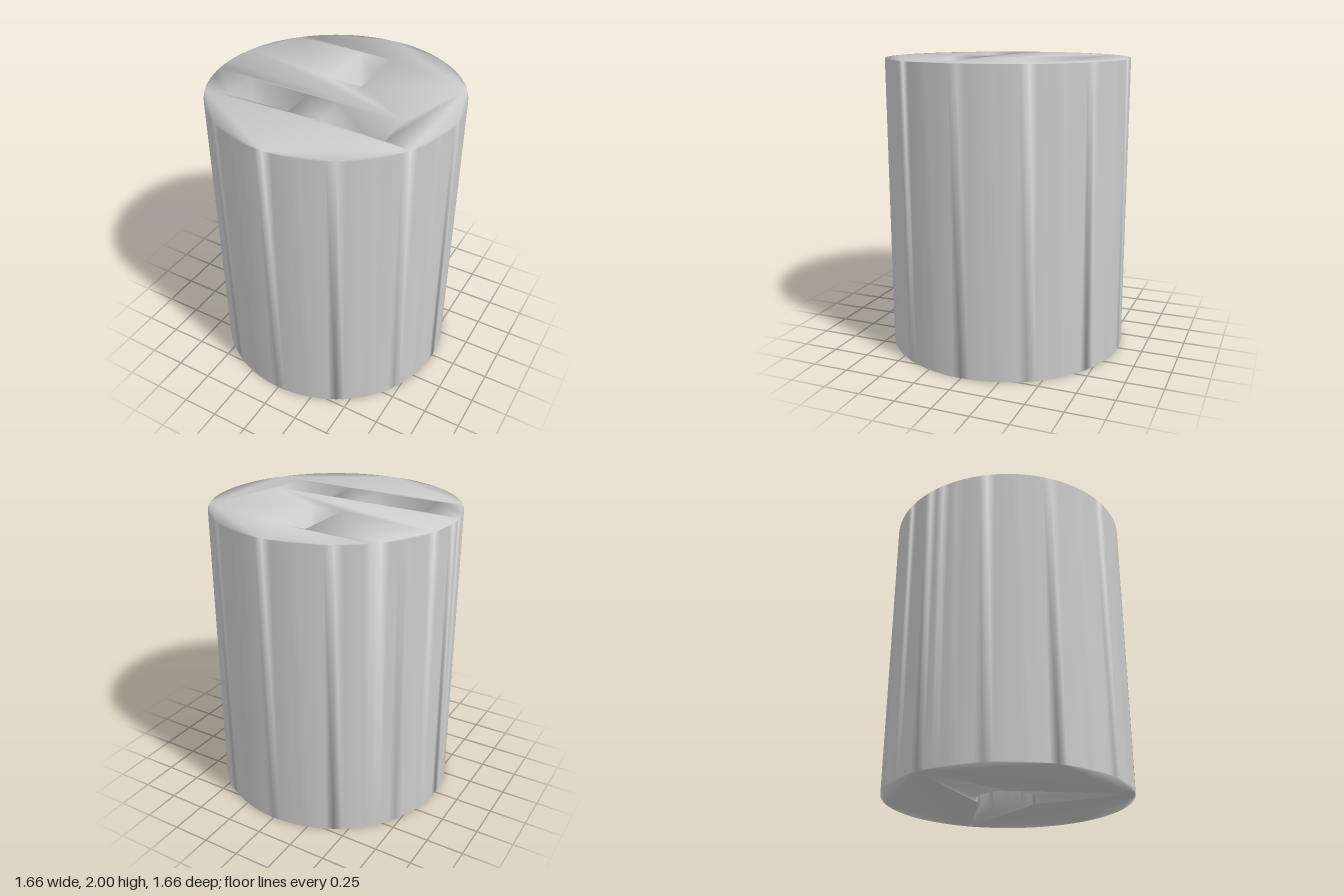
import * as THREE from 'three';
import { mergeVertices } from 'three/addons/utils/BufferGeometryUtils.js';

const R = 0.83, H = 2, SLOT_DEPTH = 0.45, BORE_R = 0.215, BORE_DEPTH = 0.5;

// Outlines are lists of (x, z) points
const circle = (r, n) => Array.from({ length: n }, (_, i) => {
  const a = (i / n) * Math.PI * 2;
  return new THREE.Vector2(r * Math.cos(a), r * Math.sin(a));
});
const rect = (x0, x1, z0, z1) =>
  [[x0, z0], [x1, z0], [x1, z1], [x0, z1]].map(([x, z]) => new THREE.Vector2(x, z));

// Vertical wall along an outline, facing outward or inward
function addWall(out, outline, y0, y1, inward) {
  const pts = inward ? outline.slice().reverse() : outline;
  pts.forEach((a, i) => {
    const b = pts[(i + 1) % pts.length];
    out.push(a.x, y0, a.y, a.x, y1, a.y, b.x, y1, b.y);
    out.push(a.x, y0, a.y, b.x, y1, b.y, b.x, y0, b.y);
  });
}

// Flat face at height y with optional holes, facing up or down
function addCap(out, outline, holes, y, up) {
  const all = [outline, ...holes].flat();
  for (const tri of THREE.ShapeUtils.triangulateShape(outline, holes)) {
    const t = tri.map((i) => all[i]);
    const turn = (t[1].x - t[0].x) * (t[2].y - t[0].y) - (t[1].y - t[0].y) * (t[2].x - t[0].x);
    if ((turn < 0) !== up) t.reverse();
    t.forEach((p) => out.push(p.x, y, p.y));
  }
}

export function createModel() {
  const rim = circle(R, 96);
  const bore = circle(BORE_R, 48);
  const slots = [
    rect(-0.12, 0.12, -0.555, -0.115),
    rect(-0.555, -0.115, 0.14, 0.385),
    rect(0.11, 0.55, 0.14, 0.385),
  ];
  const pos = [];

  // Outer wall, slotted top and bored underside
  addWall(pos, rim, 0, H, false);
  addCap(pos, rim, slots, H, true);
  addCap(pos, rim, [bore], 0, false);

  // Three rectangular slots in the top
  for (const s of slots) {
    addWall(pos, s, H - SLOT_DEPTH, H, true);
    addCap(pos, s, [], H - SLOT_DEPTH, true);
  }

  // Round blind bore in the underside
  addWall(pos, bore, 0, BORE_DEPTH, true);
  addCap(pos, bore, [], BORE_DEPTH, false);

  // Weld everything so the shading runs smoothly over the edges
  let geo = new THREE.BufferGeometry();
  geo.setAttribute('position', new THREE.Float32BufferAttribute(pos, 3));
  geo = mergeVertices(geo);
  geo.computeVertexNormals();

  const body = new THREE.Mesh(geo, new THREE.MeshStandardMaterial({ color: 0xcccccc }));
  body.name = 'slottedCylinderBody';
  const group = new THREE.Group();
  group.name = 'slottedCylinder';
  group.add(body);
  return group;
}
